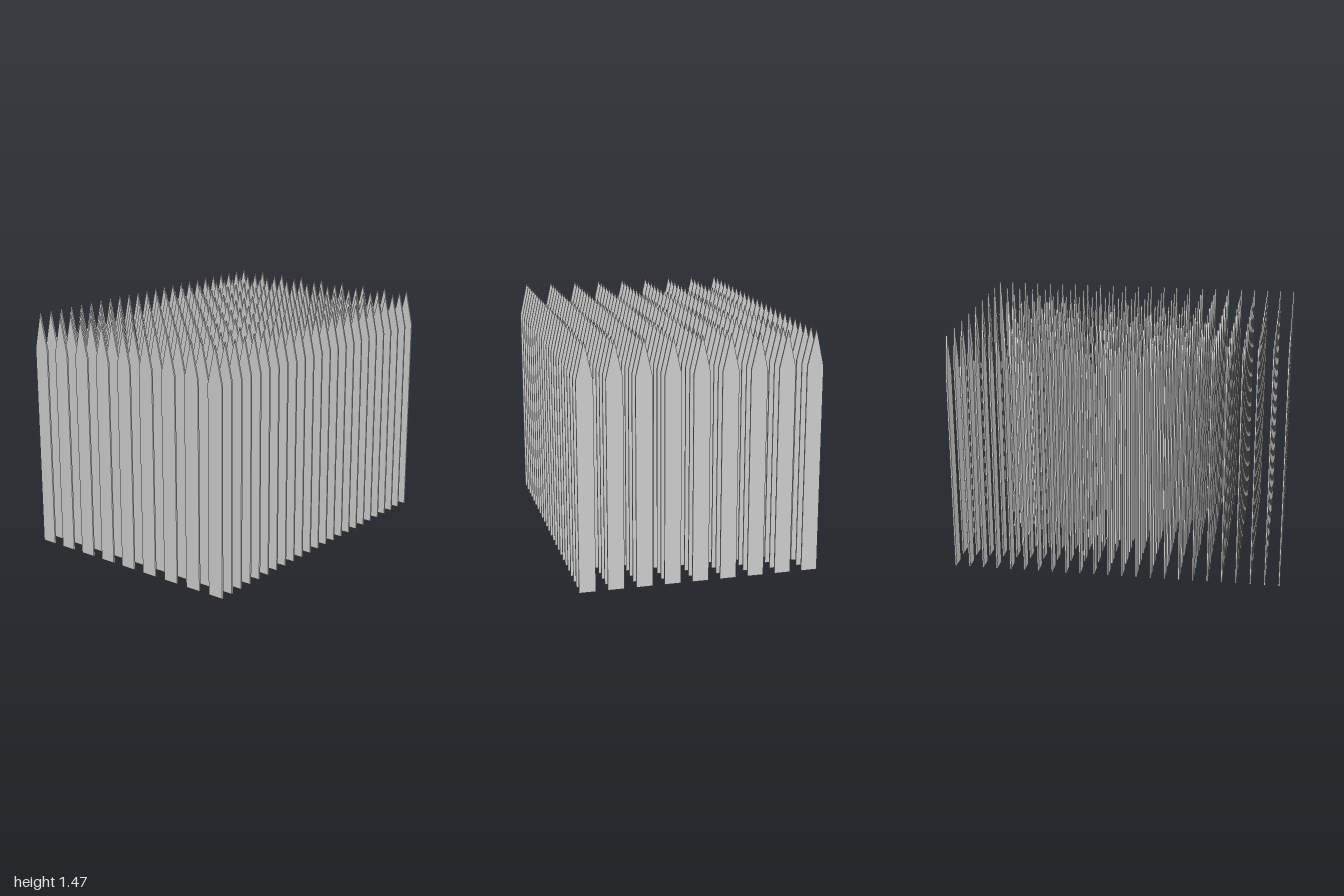
import * as THREE from 'three';

const COLUMNS = 9, ROWS = 24;
const WIDTH = 0.098, SHOULDER = 1.248, HEIGHT = 1.468, THICKNESS = 0.01;
const PITCH_X = 0.1683, PITCH_Z = (2 - THICKNESS) / (ROWS - 1);

// Flat board with a pointed top, standing on y = 0 and centred in z
function picketGeometry() {
  const h = WIDTH / 2;
  const outline = new THREE.Shape([
    new THREE.Vector2(-h, 0),
    new THREE.Vector2(h, 0),
    new THREE.Vector2(h, SHOULDER),
    new THREE.Vector2(0, HEIGHT),
    new THREE.Vector2(-h, SHOULDER),
  ]);
  return new THREE.ExtrudeGeometry(outline, { depth: THICKNESS, bevelEnabled: false })
    .translate(0, 0, -THICKNESS / 2);
}

export function createModel() {
  const model = new THREE.Group();
  model.name = 'picketRows';
  const geometry = picketGeometry();
  const material = new THREE.MeshStandardMaterial({ color: 0xcccccc, flatShading: true });

  // Rows from back to front, each a line of evenly spaced pickets
  for (let r = 0; r < ROWS; r++) {
    const row = new THREE.Group();
    row.name = `picketRow${r + 1}`;
    row.position.z = (r - (ROWS - 1) / 2) * PITCH_Z;
    for (let c = 0; c < COLUMNS; c++) {
      const picket = new THREE.Mesh(geometry, material);
      picket.name = 'picket';
      picket.position.x = (c - (COLUMNS - 1) / 2) * PITCH_X;
      row.add(picket);
    }
    model.add(row);
  }
  return model;
}
